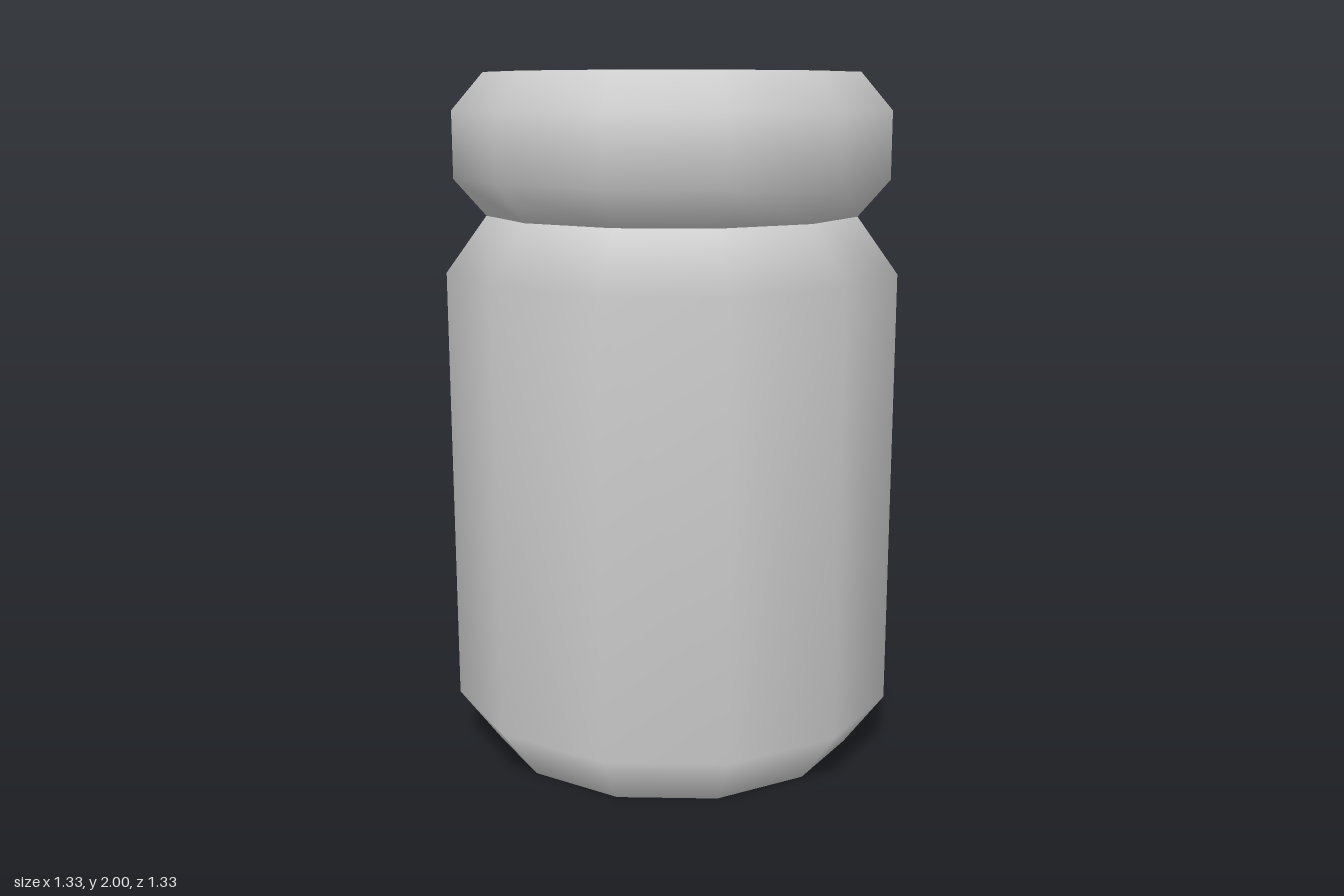
import * as THREE from 'three';

const SIDES = 12;
const END_RADIUS = 0.547; // base, neck and lid top share this radius
const material = new THREE.MeshStandardMaterial({ color: 0xcccccc });

function addMesh(parent, name, geometry) {
  const mesh = new THREE.Mesh(geometry, material);
  mesh.name = name;
  parent.add(mesh);
  return mesh;
}

// Smooth-shaded wall turned from [radius, height] pairs, bottom to top
function wall(profile) {
  return new THREE.LatheGeometry(profile.map(([r, y]) => new THREE.Vector2(r, y)), SIDES);
}

// Flat end disc, facing up (1) or down (-1)
function disc(y, facing) {
  return new THREE.CircleGeometry(END_RADIUS, SIDES)
    .rotateX(-facing * Math.PI / 2)
    .translate(0, y, 0);
}

export function createModel() {
  const jar = new THREE.Group();
  jar.name = 'jar';

  // Jar body with chamfered base and shoulder
  addMesh(jar, 'body', wall([[END_RADIUS, 0], [0.665, 0.16], [0.665, 1.44], [END_RADIUS, 1.6]]));
  addMesh(jar, 'base', disc(0, -1));

  // Lid with chamfered rims, meeting the body at the neck
  addMesh(jar, 'lid', wall([[END_RADIUS, 1.6], [0.638, 1.705], [0.638, 1.895], [END_RADIUS, 2]]));
  addMesh(jar, 'lidTop', disc(2, 1));

  return jar;
}
